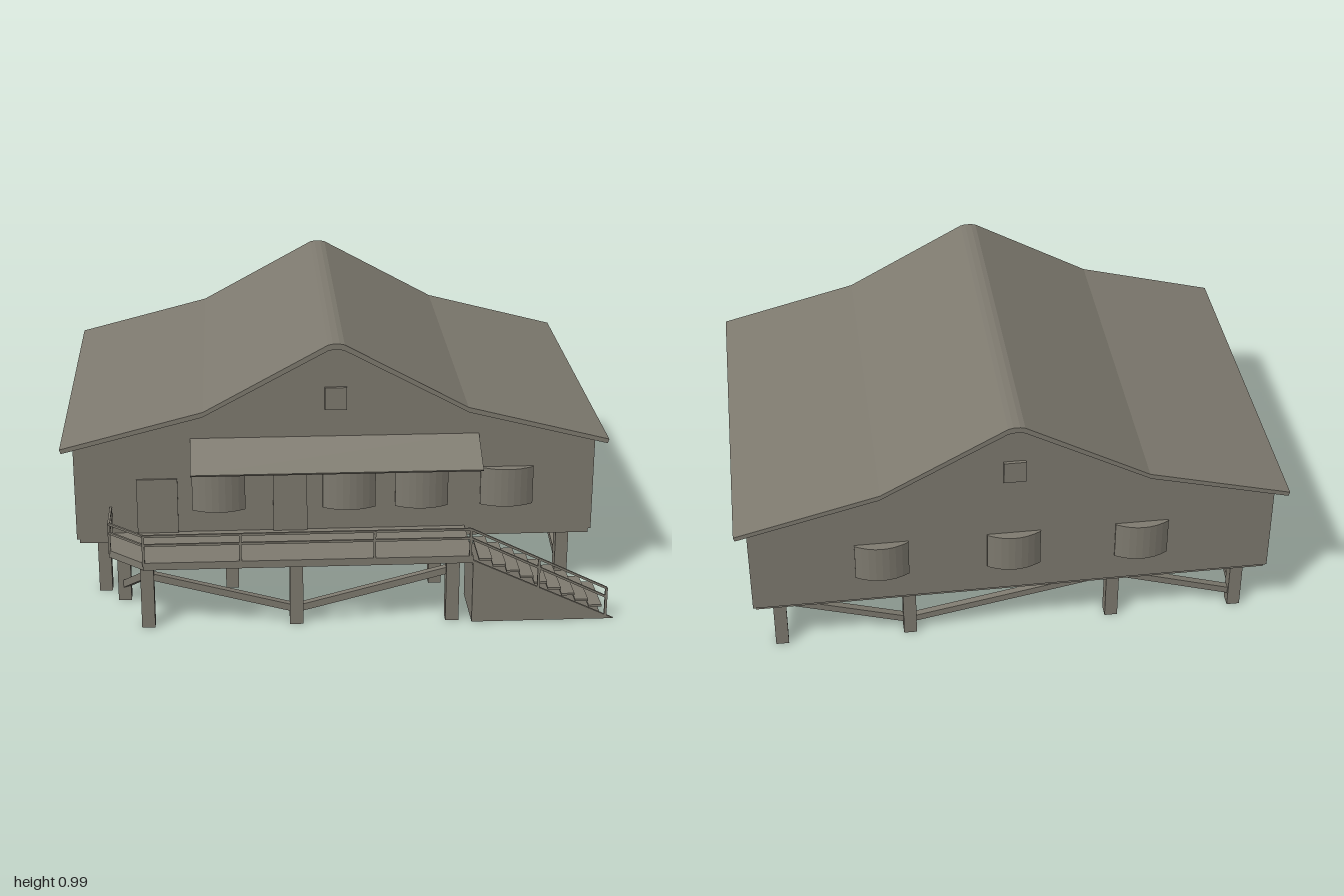
import * as THREE from 'three';

export function createModel() {
  const root = new THREE.Group();
  root.name = 'stiltHouse';
  const mat = new THREE.MeshStandardMaterial({ color: 0x7f7b70 });
  mat.name = 'weatheredGrey';

  const add = (name, geo, parent = root) => {
    const m = new THREE.Mesh(geo, mat);
    m.name = name;
    parent.add(m);
    return m;
  };
  const group = (name) => {
    const g = new THREE.Group();
    g.name = name;
    root.add(g);
    return g;
  };
  // Box given by its min and max corners
  const box = (name, [x0, y0, z0], [x1, y1, z1], parent) => {
    const m = add(name, new THREE.BoxGeometry(x1 - x0, y1 - y0, z1 - z0), parent);
    m.position.set((x0 + x1) / 2, (y0 + y1) / 2, (z0 + z1) / 2);
    return m;
  };
  // Square bar running between two points
  const bar = (name, a, b, w, parent) => {
    const p = new THREE.Vector3(...a), q = new THREE.Vector3(...b);
    const m = add(name, new THREE.BoxGeometry(w, w, p.distanceTo(q)), parent);
    m.position.copy(p).add(q).multiplyScalar(0.5);
    m.lookAt(q);
    return m;
  };
  // Outline in x,y pushed along z from z0 to z1
  const extrude = (pts, z0, z1) => {
    const s = new THREE.Shape(pts.map(([x, y]) => new THREE.Vector2(x, y)));
    return new THREE.ExtrudeGeometry(s, { depth: z1 - z0, bevelEnabled: false }).translate(0, 0, z0);
  };
  const mirrored = (half) => [...half.map(([x, y]) => [-x, y]), ...half.slice().reverse()];

  // Walls with gable ends, and the floor slab
  add('walls', extrude([[-0.955, 0.24], [0.955, 0.24],
    [0.955, 0.605], [0.485, 0.728], [0.03, 0.97], [-0.03, 0.97], [-0.485, 0.728], [-0.955, 0.605]], -0.775, 0.54));
  box('floorSlab', [-0.945, 0.225, -0.765], [0.945, 0.24, 0.54]);

  // Two-pitch roof sheet
  const top = [[1, 0.61], [0.48, 0.744], [0.03, 0.99], [0.012, 0.994]];
  const under = [[0.995, 0.594], [0.484, 0.724], [0.03, 0.968], [0.012, 0.972]];
  add('roof', extrude([...mirrored(top), ...mirrored(under).reverse()], -0.815, 0.575));

  // Bowed windows: a shallow arc in plan, on all four walls
  const windows = group('windows');
  const bow = (x, z, angle, w) => {
    const s = new THREE.Shape();
    s.moveTo(-w / 2, 0.005);
    for (let i = 0; i <= 8; i++) {
      const t = i / 4 - 1;
      s.lineTo(t * w / 2, -0.006 - 0.029 * (1 - t * t));
    }
    s.lineTo(w / 2, 0.005);
    const geo = new THREE.ExtrudeGeometry(s, { depth: 0.147, bevelEnabled: false }).rotateX(-Math.PI / 2);
    const m = add('bowWindow', geo, windows);
    m.position.set(x, 0.35, z);
    m.rotation.y = angle;
  };
  for (const x of [-0.43, 0.05, 0.318, 0.633]) bow(x, 0.54, 0, 0.195);
  for (const x of [-0.47, 0, 0.48]) bow(x, -0.775, Math.PI, 0.195);
  for (const z of [0.138, -0.4]) {
    bow(0.955, z, Math.PI / 2, 0.195);
    bow(-0.955, z, -Math.PI / 2, 0.195);
  }
  for (const z of [0.54, -0.775]) box('atticWindow', [-0.04, 0.735, z - 0.012], [0.04, 0.82, z + 0.012], windows);
  box('door', [-0.23, 0.26, 0.53], [-0.105, 0.495, 0.549]);
  box('sideDoor', [-0.73, 0.26, 0.53], [-0.58, 0.475, 0.547]);

  // Awning over the porch with two struts
  const awning = group('awning');
  const sheet = add('awningSheet', extrude([[-0.53, -0.09], [0.525, -0.09], [0.525, 0.09], [-0.53, 0.09]], -0.004, 0.004), awning);
  sheet.position.set(0, 0.587, 0.613);
  sheet.rotation.x = -Math.atan2(0.15, 0.08);
  for (const x of [-0.255, 0.18]) bar('awningStrut', [x, 0.518, 0.54], [x, 0.55, 0.68], 0.009, awning);

  // Porch deck with one cut corner
  const deckOutline = [[-0.83, -0.54], [-0.83, -0.69], [-0.7, -0.81], [0.48, -0.81], [0.48, -0.54]];
  add('deck', extrude(deckOutline, 0.235, 0.263).rotateX(-Math.PI / 2));

  // Porch railing
  const railing = group('railing');
  const corners = [[-0.826, 0.545], [-0.826, 0.69], [-0.7, 0.806], [0.47, 0.806]];
  for (const y of [0.366, 0.331]) {
    for (let i = 0; i < 3; i++) {
      const [a, b] = [corners[i], corners[i + 1]];
      bar('rail', [a[0], y, a[1]], [b[0], y, b[1]], 0.008, railing);
    }
    bar('stairRail', [0.47, y, 0.806], [0.97, y - 0.245, 0.806], 0.008, railing);
  }
  for (const [x, z] of [...corners, [-0.355, 0.806], [0.125, 0.806]])
    bar('railPost', [x, 0.25, z], [x, 0.368, z], 0.009, railing);
  for (const x of [0.72, 0.97]) {
    const y = 0.366 - (x - 0.47) * 0.49;
    bar('stairRailPost', [x, y - 0.115, 0.806], [x, y, 0.806], 0.009, railing);
  }

  // Stairs: solid wedge, outer stringer and treads
  const stairs = group('stairs');
  add('stairWedge', extrude([[0.48, 0], [0.96, 0], [0.48, 0.222]], 0.58, 0.8), stairs);
  add('stringer', extrude([[0.48, 0], [1, 0], [0.48, 0.245]], 0.8, 0.81), stairs);
  for (let i = 0; i < 9; i++) {
    const x = 0.505 + i * 0.051, y = 0.237 - i * 0.0245;
    box('tread', [x, y - 0.008, 0.585], [x + 0.048, y, 0.78], stairs);
  }

  // Stilts: a grid under the house and a row under the deck edge
  const stilts = group('stilts');
  const stilt = (x, z) => box('stilt', [x - 0.024, 0, z - 0.024], [x + 0.024, 0.236, z + 0.024], stilts);
  const xs = [-0.86, -0.385, 0.38, 0.86], zs = [0.455, -0.125, -0.69];
  for (const x of xs) for (const z of zs) stilt(x, z);
  const deckStilts = [[-0.785, 0.54], [-0.69, 0.77], [-0.155, 0.77], [0.41, 0.77]];
  for (const [x, z] of deckStilts) stilt(x, z);

  // Braces zigzag low and high from stilt to stilt
  const braces = group('braces');
  const zigzag = (pts) => {
    for (let i = 0; i < pts.length - 1; i++) {
      const y = (k) => (k % 2 ? 0.2 : 0.055);
      bar('brace', [pts[i][0], y(i), pts[i][1]], [pts[i + 1][0], y(i + 1), pts[i + 1][1]], 0.026, braces);
    }
  };
  zigzag(xs.map((x) => [x, -0.69]));
  for (const x of [-0.86, 0.86]) zigzag(zs.map((z) => [x, z]));
  zigzag(deckStilts);

  return root;
}
